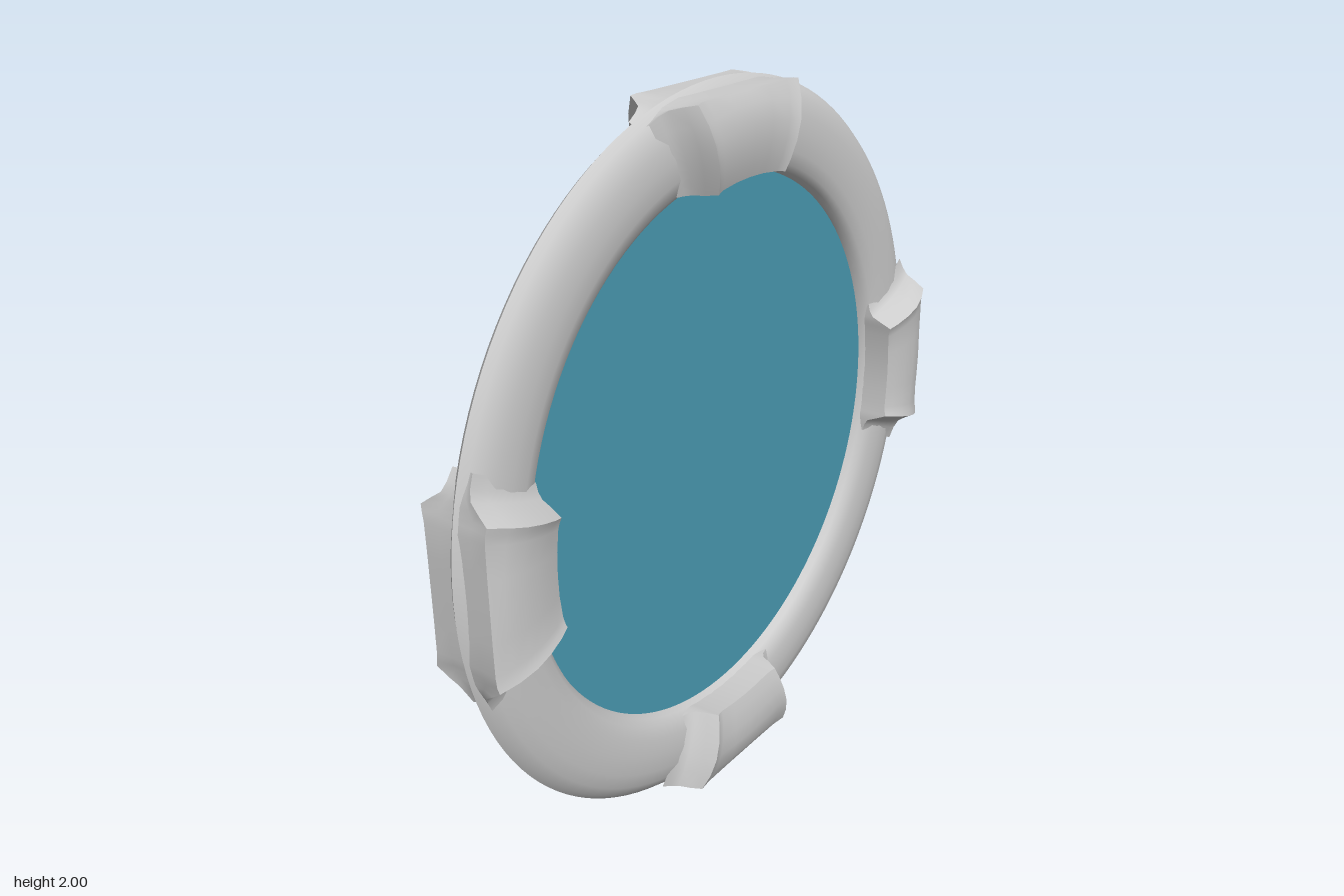
import * as THREE from 'three';
import { toCreasedNormals } from 'three/addons/utils/BufferGeometryUtils.js';

const grey = new THREE.MeshStandardMaterial({ color: 0xcccccc });
const teal = new THREE.MeshStandardMaterial({ color: 0x4a9bb3, side: THREE.DoubleSide });

// Lens-shaped ring section [radius, half thickness], pointed at the outer rim
const RING = [[0.76, 0], [0.768, 0.02], [0.785, 0.034], [0.82, 0.043], [0.87, 0.046],
  [0.92, 0.043], [0.96, 0.033], [0.985, 0.018], [1, 0]];

function ringGeometry() {
  const lower = RING.map(([r, h]) => new THREE.Vector2(r, -h));
  const upper = RING.slice(0, -1).reverse().map(([r, h]) => new THREE.Vector2(r, h));
  const geo = new THREE.LatheGeometry([...lower, ...upper], 128);
  geo.rotateZ(Math.PI / 2);
  return toCreasedNormals(geo, 0.75);
}

// Clasp: a bulging section lofted along the rim, with flared ends running into the ring
function claspGeometry() {
  const half = [[0.768, 0.11], [0.80, 0.12], [0.85, 0.129], [0.90, 0.13], [0.95, 0.12], [1, 0.10], [0.992, 0.05]];
  const loop = [...half.map(([r, w]) => [r, -w]), ...half.slice().reverse()];
  // [position along the clasp, width scale, height scale]
  const side = [[1.45, 0.3, 0.9], [1.3, 0.35, 0.95], [1.19, 0.45, 0.98], [1.1, 0.72, 1],
    [1, 1, 1], [0.92, 0.96, 1], [0.8, 0.93, 1], [0.4, 0.92, 1]];
  const stations = [...side.map(([s, w, q]) => [-s, w, q]), [0, 0.92, 1], ...side.slice().reverse()];

  const pos = [], index = [], n = loop.length;
  stations.forEach(([s, w, q], i) => {
    loop.forEach(([r, x], j) => {
      const t = s * (0.145 + (r - 0.768) * 0.29); // ends slant outward
      const rho = 0.88 + (r - 0.88) * q;
      // follows the ring, with a flat outer wall
      pos.push(x * w, Math.min(Math.sqrt(rho * rho - t * t), 0.98), t);
      if (i < stations.length - 1) {
        const a = i * n + j, b = i * n + (j + 1) % n;
        index.push(a, a + n, b, b, a + n, b + n);
      }
    });
  });
  const geo = new THREE.BufferGeometry();
  geo.setAttribute('position', new THREE.Float32BufferAttribute(pos, 3));
  geo.setIndex(index);
  return toCreasedNormals(geo, 0.75);
}

export function createModel() {
  const model = new THREE.Group();
  model.name = 'framedDisc';
  const add = (name, geo, mat) => {
    const mesh = new THREE.Mesh(geo, mat);
    mesh.name = name;
    mesh.position.y = 1;
    model.add(mesh);
    return mesh;
  };

  add('ring', ringGeometry(), grey);
  add('pane', new THREE.CircleGeometry(0.765, 128).rotateY(Math.PI / 2), teal);

  // Four clasps, a quarter turn apart
  const clasp = claspGeometry();
  ['topClasp', 'frontClasp', 'bottomClasp', 'backClasp'].forEach((name, i) => {
    add(name, clasp, grey).rotation.x = i * Math.PI / 2;
  });
  return model;
}
